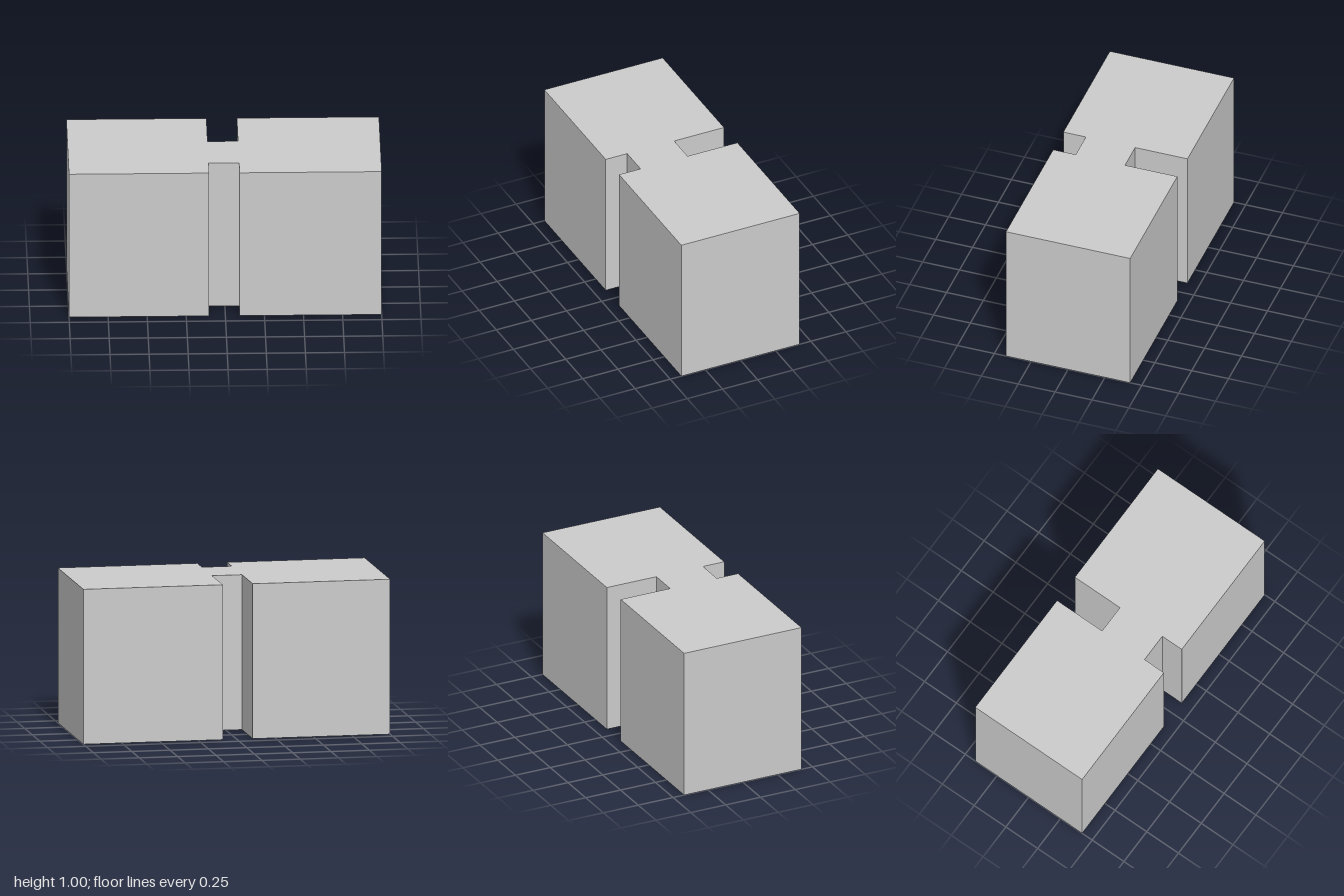
import * as THREE from 'three';

// Plan outline and height of the block
const HEIGHT = 1.005, HALF_X = 1, HALF_Z = 0.421;
const SLOT_LEFT = 0.091, SLOT_RIGHT = -0.104;
const WEB_FRONT = 0.268, WEB_BACK = -0.066;

export function createModel() {
  const group = new THREE.Group();
  group.name = 'notchedBlock';

  // Plan as [x, z], counter-clockwise seen from above, starting at the front right corner
  const plan = [
    [-HALF_X, HALF_Z],
    [SLOT_RIGHT, HALF_Z], [SLOT_RIGHT, WEB_FRONT], [SLOT_LEFT, WEB_FRONT], [SLOT_LEFT, HALF_Z],
    [HALF_X, HALF_Z], [HALF_X, -HALF_Z],
    [SLOT_LEFT, -HALF_Z], [SLOT_LEFT, WEB_BACK], [SLOT_RIGHT, WEB_BACK], [SLOT_RIGHT, -HALF_Z],
    [-HALF_X, -HALF_Z],
  ];
  const shape = new THREE.Shape(plan.map(([x, z]) => new THREE.Vector2(x, -z)));

  // Extrude the plan straight up: two blocks joined by a web between the slots
  const geometry = new THREE.ExtrudeGeometry(shape, { depth: HEIGHT, bevelEnabled: false });
  geometry.rotateX(-Math.PI / 2);

  const body = new THREE.Mesh(geometry, new THREE.MeshStandardMaterial({ color: 0xcccccc }));
  body.name = 'blockBody';
  group.add(body);
  return group;
}
